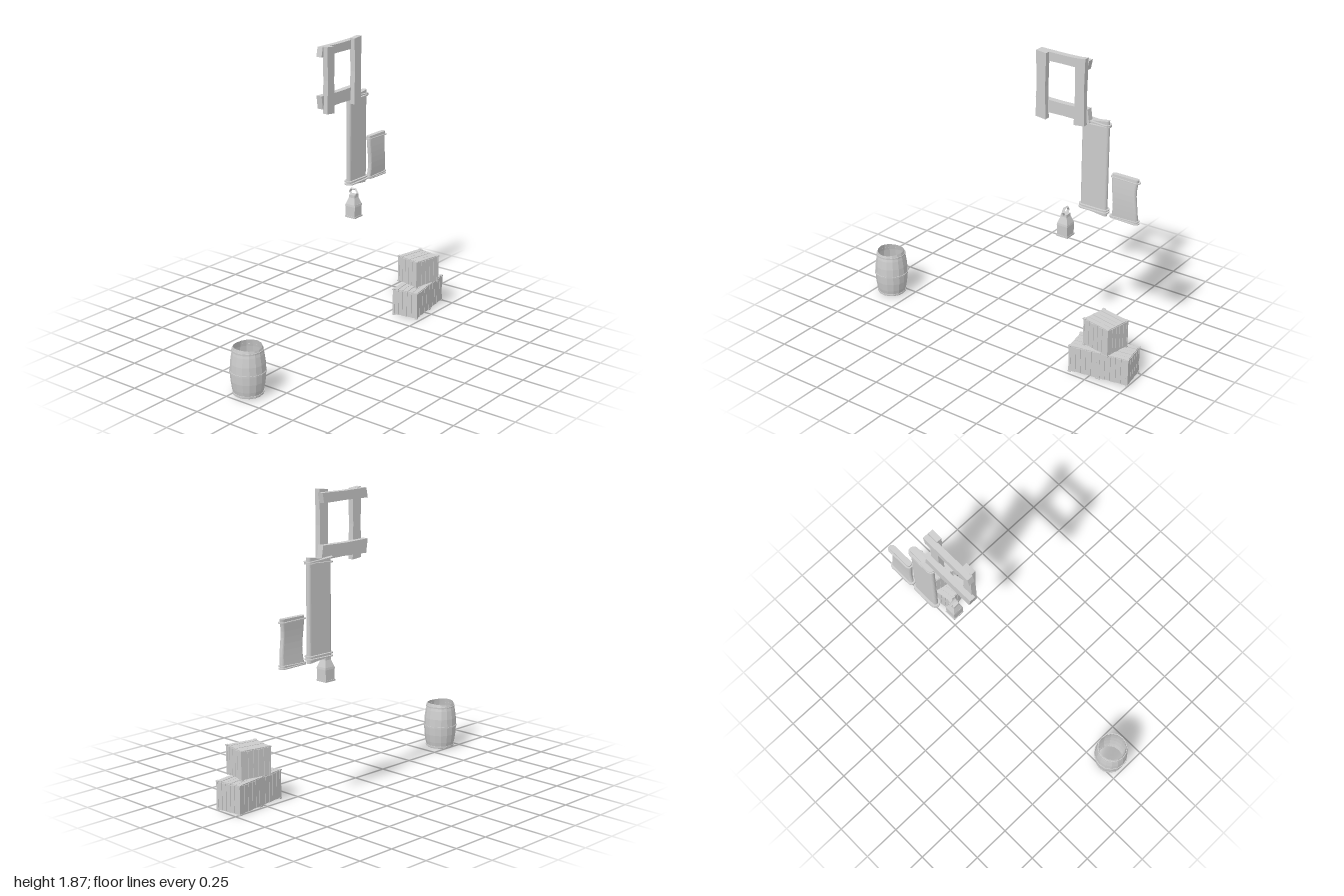
import * as THREE from 'three';

export function createModel() {
  const root = new THREE.Group();
  const grey = new THREE.MeshStandardMaterial({ color: 0xcccccc, flatShading: true, side: THREE.DoubleSide });
  grey.name = 'plain grey';

  const add = (parent, name, geo, x = 0, y = 0, z = 0) => {
    const m = new THREE.Mesh(geo, grey);
    m.name = name;
    m.position.set(x, y, z);
    parent.add(m);
    return m;
  };
  const group = (name, x = 0, y = 0, z = 0) => {
    const g = new THREE.Group();
    g.name = name;
    g.position.set(x, y, z);
    root.add(g);
    return g;
  };
  // move every vertex by a rule
  const warp = (geo, rule) => {
    const p = geo.attributes.position, v = new THREE.Vector3();
    for (let i = 0; i < p.count; i++) {
      rule(v.fromBufferAttribute(p, i));
      p.setXYZ(i, v.x, v.y, v.z);
    }
    geo.computeVertexNormals();
    return geo;
  };

  // barrel: open bulging shell with uneven stave ends and three hoops
  const barrel = group('barrel', -0.89, 0, 0.075);
  const radius = y => 0.107 - 0.02 * ((y - 0.157) / 0.15) ** 2;
  const profile = [0.008, 0.05, 0.1, 0.157, 0.21, 0.265, 0.308].map(y => new THREE.Vector2(radius(y), y));
  const shell = warp(new THREE.LatheGeometry(profile, 16), v => {
    const a = Math.round(Math.atan2(v.z, v.x) / (Math.PI / 8));
    if (v.y > 0.3) v.y += 0.005 * Math.sin(a * 2.4 * Math.PI / 1.2);
    if (v.y > 0.3) v.y += 0.004 * Math.cos(a * Math.PI / 4);
  });
  add(barrel, 'staves', shell);
  for (const y of [0.02, 0.155, 0.288]) {
    const r = radius(y);
    const hoop = new THREE.LatheGeometry([[0, -0.005], [0.004, -0.005], [0.004, 0.005], [0, 0.005]]
      .map(([o, h]) => new THREE.Vector2(r + o, h)), 16);
    add(barrel, 'hoop', hoop, 0, y, 0);
  }

  // crate: core box, upright planks, top planks, corner posts with small end caps
  function crate(parent, w, h, d, x) {
    const c = new THREE.Group();
    c.name = 'crate';
    c.position.x = x;
    parent.add(c);
    const t = 0.005, n = 5;
    add(c, 'core', new THREE.BoxGeometry(w - 2 * t, h - 0.01, d - 2 * t), 0, h / 2, 0);
    for (let i = 0; i < n; i++) {
      const f = (i + 0.5) / n - 0.5, ph = h - 0.012 - 0.005 * (i % 2);
      for (const s of [-1, 1]) {
        add(c, 'sidePlank', new THREE.BoxGeometry((w - 0.02) / n - 0.003, ph, t), f * (w - 0.02), h / 2, s * (d / 2 - t / 2));
        add(c, 'endPlank', new THREE.BoxGeometry(t, ph, (d - 0.02) / n - 0.003), s * (w / 2 - t / 2), h / 2, f * (d - 0.02));
      }
      add(c, 'topPlank', new THREE.BoxGeometry(w - 0.006, t, d / n - 0.003), 0, h - t / 2 - 0.001 * (i % 2), f * d);
    }
    for (const sx of [-1, 1]) for (const sz of [-1, 1]) {
      const px = sx * (w / 2 - 0.005), pz = sz * (d / 2 - 0.005);
      add(c, 'cornerPost', new THREE.BoxGeometry(0.012, h - 0.006, 0.012), px, h / 2, pz);
      for (const y of [0.004, h - 0.003])
        add(c, 'postCap', new THREE.BoxGeometry(0.018, 0.007, 0.018), px, y, pz);
    }
  }
  const lower = group('lowerCrates', 0.795, 0.004, 0.108);
  lower.rotation.y = 0.155;
  for (const s of [-1, 1]) crate(lower, 0.193, 0.183, 0.176, s * 0.0965);
  const upper = group('upperCrate', 0.799, 0.19, 0.105);
  upper.rotation.y = -0.2;
  crate(upper, 0.2, 0.182, 0.174, 0);

  // square frame: two rails behind two rough uprights, each slightly waisted
  const frame = group('boardFrame');
  const board = (w, h, d, along, skew) => warp(new THREE.BoxGeometry(w, h, d, along === 'x' ? 4 : 1, along === 'y' ? 4 : 1, 1), v => {
    if (along === 'y') {
      v.x *= 0.86 + 0.14 * Math.abs(v.y) / (h / 2);
      v.y += skew * v.x;
    } else {
      v.y *= 0.9 + 0.1 * Math.abs(v.x) / (w / 2);
      v.x += skew * v.y;
    }
  });
  add(frame, 'topRail', board(0.36, 0.06, 0.04, 'x', 0.2), 0.285, 1.827, -0.175);
  add(frame, 'bottomRail', board(0.37, 0.085, 0.04, 'x', -0.15), 0.29, 1.512, -0.175);
  add(frame, 'leftUpright', board(0.072, 0.42, 0.036, 'y', 0.1), 0.428, 1.662, -0.143);
  add(frame, 'rightUpright', board(0.072, 0.42, 0.036, 'y', -0.1), 0.155, 1.648, -0.143);

  // flat slab with rounded sides, standing upright from y = 0
  function slab(w, d, h, steps = 1) {
    const r = d / 2, a = w / 2 - r, s = new THREE.Shape();
    s.moveTo(-a, -r).lineTo(a, -r);
    s.absarc(a, 0, r, -Math.PI / 2, Math.PI / 2, false);
    s.lineTo(-a, r);
    s.absarc(-a, 0, r, Math.PI / 2, Math.PI * 1.5, false);
    return new THREE.ExtrudeGeometry(s, { depth: h, steps, bevelEnabled: false, curveSegments: 5 }).rotateX(-Math.PI / 2);
  }

  // tall hanging with slanted ends and paired cords
  const tall = group('tallHanging', 0.507, 0, -0.194);
  add(tall, 'panel', warp(slab(0.185, 0.034, 1), v => {
    v.y = v.y > 0.5 ? 1.487 + v.x * 0.14 : 0.89 - v.x * 0.11;
  }));
  for (const [y, tilt] of [[1.475, -0.06], [1.458, 0.04], [0.918, 0], [0.9, 0.01]])
    add(tall, 'cord', slab(0.208, 0.064, 0.007), 0, y, 0).rotation.z = tilt;

  // short hanging with a bowed body and wavy sides
  const short = group('shortHanging', 0.722, 0, -0.197);
  add(short, 'panel', warp(slab(0.182, 0.03, 1, 8), v => {
    const u = v.y;
    v.x *= 1 - 0.1 * Math.sin(u * Math.PI);
    v.x += 0.005 * Math.sin(u * Math.PI * 2);
    v.z += 0.007 * Math.sin(u * Math.PI);
    v.y = 0.885 + 0.29 * u;
  }));
  for (const [y, tilt] of [[1.153, -0.02], [0.898, 0.03], [0.887, -0.02]])
    add(short, 'cord', slab(0.2, 0.05, 0.006), 0, y, 0).rotation.z = tilt;

  // lantern: square body, tapered shoulder, collar and six-sided ring
  const lantern = group('lantern', 0.362, 0, -0.104);
  const tier = (name, bottom, top, y0, y1) => add(lantern, name,
    new THREE.CylinderGeometry(top * Math.SQRT1_2, bottom * Math.SQRT1_2, y1 - y0, 4).rotateY(Math.PI / 4), 0, (y0 + y1) / 2, 0);
  tier('base', 0.08, 0.08, 0.72, 0.73);
  tier('body', 0.074, 0.074, 0.73, 0.795);
  tier('bodyRim', 0.078, 0.074, 0.795, 0.808);
  tier('shoulder', 0.072, 0.044, 0.808, 0.85);
  tier('collar', 0.044, 0.042, 0.85, 0.868);
  const ring = add(lantern, 'ring', new THREE.TorusGeometry(0.03, 0.009, 4, 6).rotateY(Math.PI / 2), 0, 0.883, 0);
  ring.scale.y = 0.85;

  return root;
}
